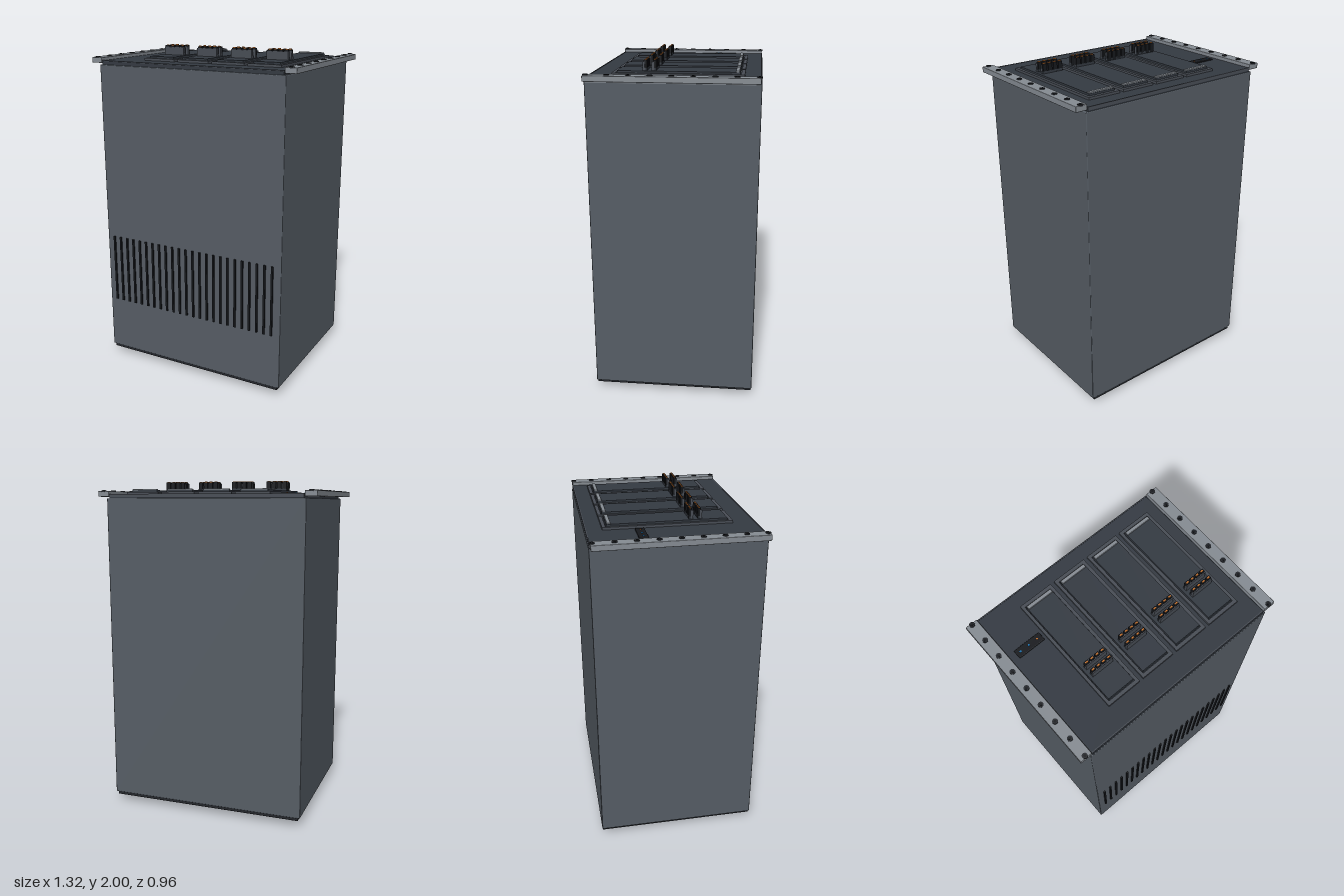
import * as THREE from 'three';
import { RoundedBoxGeometry } from 'three/addons/geometries/RoundedBoxGeometry.js';

const paint = (color) => new THREE.MeshStandardMaterial({ color });
const M = {
  shell: paint(0x565d65), cover: paint(0x343a42), frame: paint(0x484d55), black: paint(0x17191d),
  base: paint(0x24272c), ear: paint(0x868c93), blue: paint(0x2090e0), orange: paint(0xd07830),
};

function add(parent, name, geometry, material) {
  const mesh = new THREE.Mesh(geometry, material);
  mesh.name = name;
  parent.add(mesh);
  return mesh;
}

// Box given by its lower and upper limits on each axis
function box(parent, name, material, [x0, x1], [y0, y1], [z0, z1], radius = 0) {
  const size = [x1 - x0, y1 - y0, z1 - z0];
  const geometry = radius ? new RoundedBoxGeometry(...size, 2, radius) : new THREE.BoxGeometry(...size);
  const mesh = add(parent, name, geometry, material);
  mesh.position.set((x0 + x1) / 2, (y0 + y1) / 2, (z0 + z1) / 2);
  return mesh;
}

function group(parent, name, x = 0, y = 0, z = 0) {
  const g = new THREE.Group();
  g.name = name;
  g.position.set(x, y, z);
  parent.add(g);
  return g;
}

// Vertical cylinder centred at x, y, z
function disc(parent, name, material, r, h, x, y, z, sides = 20) {
  add(parent, name, new THREE.CylinderGeometry(r, r, h, sides), material).position.set(x, y, z);
}

const rectangle = (Type, x0, x1, y0, y1) => new Type().setFromPoints(
  [[x0, y0], [x1, y0], [x1, y1], [x0, y1]].map(([x, y]) => new THREE.Vector2(x, y)));

function stadium(Type, half, r) {
  const s = new Type();
  s.absarc(half, 0, r, -Math.PI / 2, Math.PI / 2, false);
  s.absarc(-half, 0, r, Math.PI / 2, Math.PI * 1.5, false);
  s.closePath();
  return s;
}

// Extrude a plan shape (its y becomes -z) upward from y = 0
function plate(parent, name, shape, height, material) {
  const geometry = new THREE.ExtrudeGeometry(shape, { depth: height, bevelEnabled: false, curveSegments: 20 });
  return add(parent, name, geometry.rotateX(-Math.PI / 2), material);
}

// Connector block: bar, four teeth and four small contacts
function connector(parent, z) {
  const g = group(parent, 'connector', 0, 0, z);
  box(g, 'connectorBar', M.frame, [-0.066, 0.066], [1.94, 1.988], [0, 0.012]);
  box(g, 'connectorFoot', M.cover, [-0.066, 0.066], [1.94, 1.955], [-0.012, 0]);
  for (let i = 0; i < 4; i++) {
    const x = (i - 1.5) * 0.034;
    box(g, 'connectorTooth', M.black, [x - 0.013, x + 0.013], [1.94, 1.996], [-0.012, 0.006]);
    box(g, 'contact', M.orange, [x - 0.008, x + 0.008], [1.994, 2], [-0.006, 0.001]);
  }
}

// Removable bay: raised frame, inner panel, pull handle and connector pair
function bay(parent, x) {
  const g = group(parent, 'bay', x);
  const rim = rectangle(THREE.Shape, -0.102, 0.102, -0.335, 0.385);
  rim.holes.push(rectangle(THREE.Path, -0.085, 0.085, -0.315, 0.365));
  plate(g, 'bayFrame', rim, 0.018, M.frame).position.y = 1.913;
  box(g, 'bayPanel', M.cover, [-0.082, 0.082], [1.91, 1.941], [-0.36, 0.308]);
  box(g, 'bayHandle', M.ear, [-0.079, 0.079], [1.935, 1.948], [-0.357, -0.336], 0.003);
  connector(g, 0.107);
  connector(g, 0.157);
}

export function createModel() {
  const model = new THREE.Group();
  model.name = 'equipmentCabinet';

  // Case with top and bottom covers
  box(model, 'shell', M.shell, [-0.6, 0.6], [0.063, 1.894], [-0.478, 0.469], 0.005);
  box(model, 'topCover', M.cover, [-0.587, 0.587], [1.885, 1.917], [-0.474, 0.465], 0.004);
  box(model, 'bottomCover', M.base, [-0.587, 0.587], [0.045, 0.07], [-0.474, 0.465], 0.004);
  for (const z of [-0.472, 0.46]) {
    box(model, 'coverEdge', M.frame, [-0.587, 0.587], [1.9, 1.919], [z - 0.003, z + 0.003]);
  }

  // Ventilation slots on the front
  const vents = group(model, 'frontVents');
  for (let i = 0; i < 24; i++) {
    const x = -0.549 + i * 0.0476;
    box(vents, 'ventSlot', M.black, [x - 0.006, x + 0.006], [0.397, 0.826], [0.46, 0.478]);
  }

  // Mounting ears with rows of bolts
  for (const side of [-1, 1]) {
    const ear = group(model, side > 0 ? 'leftEar' : 'rightEar', side * 0.625);
    box(ear, 'earRail', M.ear, [-0.035, 0.035], [1.903, 1.935], [-0.473, 0.465], 0.003);
    for (let i = 0; i < 9; i++) {
      const z = -0.464 + i * 0.1147;
      disc(ear, 'earBolt', M.base, 0.015, 0.008, 0, 1.935, Math.max(-0.463, Math.min(0.453, z)));
      disc(ear, 'boltSocket', M.black, 0.008, 0.002, 0, 1.9395, Math.max(-0.463, Math.min(0.453, z)), 6);
    }
  }

  // Four bays on the top
  for (let i = 0; i < 4; i++) bay(model, -0.269 + i * 0.2275);

  // Status light panel
  const status = group(model, 'statusPanel');
  box(status, 'statusPlate', M.black, [-0.549, -0.386], [1.91, 1.924], [-0.212, -0.16], 0.004);
  [M.blue, M.blue, M.orange].forEach((m, i) =>
    disc(status, 'statusLight', m, 0.005, 0.003, -0.524 + i * 0.054, 1.925, -0.186, 12));

  // Two modules under the case, each with a square plug
  for (const [x0, x1] of [[-0.472, -0.274], [-0.238, -0.04]]) {
    const x = (x0 + x1) / 2;
    box(model, 'bottomModule', M.ear, [x0, x1], [0.021, 0.05], [-0.295, 0.291], 0.002);
    box(model, 'modulePlug', M.black, [x - 0.028, x + 0.028], [0.004, 0.025], [-0.021, 0.021]);
  }

  // Oval grille with four separate round openings
  const grille = group(model, 'ovalGrille', 0.232, 0.023, 0);
  const rim = stadium(THREE.Shape, 0.098, 0.085);
  rim.holes.push(stadium(THREE.Path, 0.098, 0.074));
  plate(grille, 'grilleRim', rim, 0.012, M.frame);
  plate(grille, 'grilleBack', stadium(THREE.Shape, 0.098, 0.08), 0.017, M.black).position.y = 0.007;
  for (let i = 0; i < 4; i++) {
    const x = (i - 1.5) * 0.077;
    for (const r of [0.034, 0.018]) {
      const ring = add(grille, 'grilleRing', new THREE.TorusGeometry(r, 0.004, 8, 28).rotateX(Math.PI / 2), M.frame);
      ring.position.set(x, 0.006, 0);
    }
    for (const turn of [0, Math.PI / 2]) {
      const bar = box(grille, 'grilleSpoke', M.frame, [-0.034, 0.034], [0, 0.004], [-0.002, 0.002]);
      bar.position.set(x, 0.006, 0);
      bar.rotation.y = turn + Math.PI / 4;
    }
  }

  // Row of screws along the rear of the bottom cover
  for (let i = 0; i < 8; i++) disc(model, 'bottomScrew', M.black, 0.012, 0.01, 0.525 - i * 0.15, 0.043, -0.308);

  return model;
}
